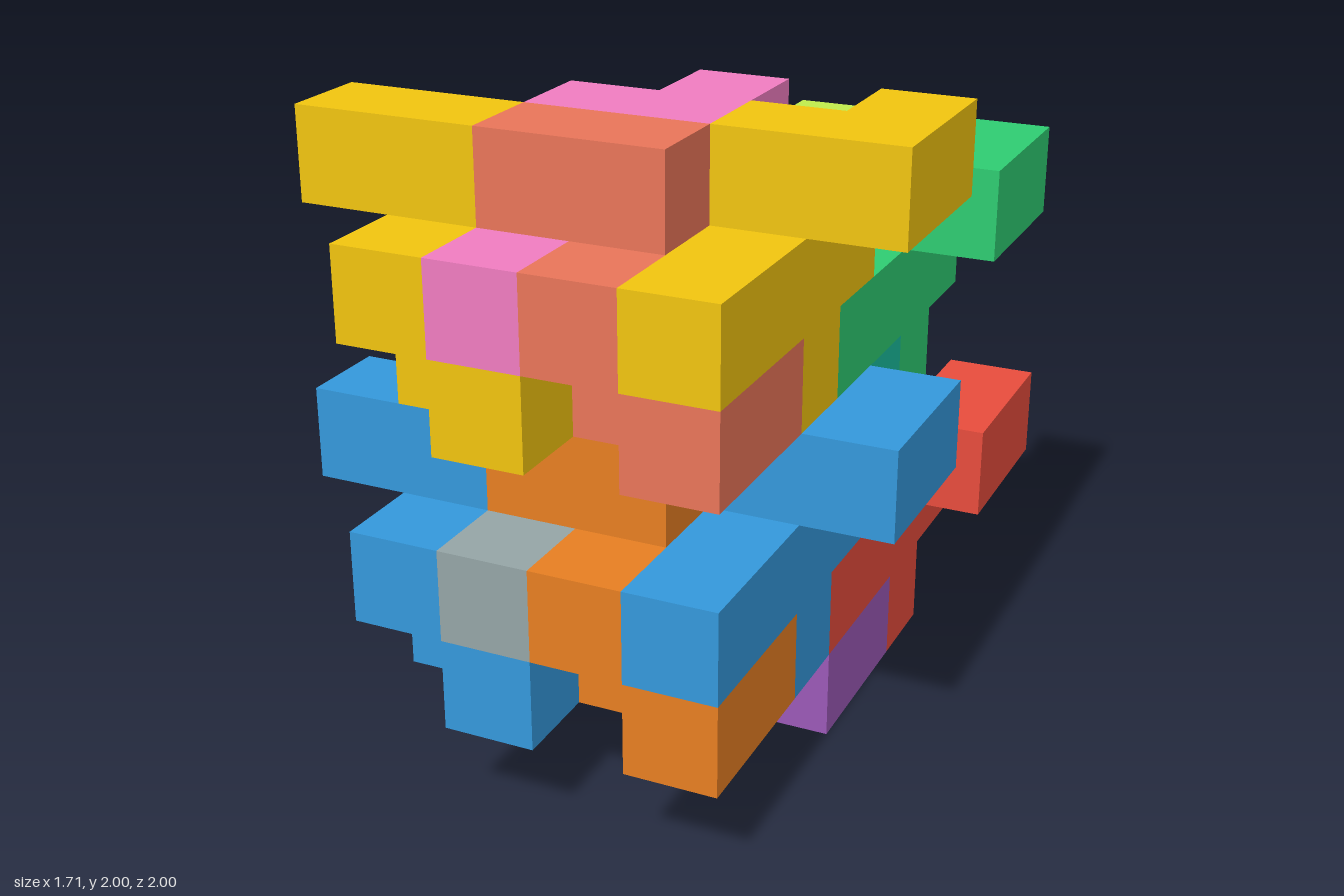
import * as THREE from 'three';
import { mergeGeometries } from 'three/addons/utils/BufferGeometryUtils.js';

const U = 2 / 7; // one grid cell

// Each tile is three layers of cells in three colour zones.
// Blocks are [x0, x1, layer, z0, z1] in cells.
const ZONES = {
  outerZone: [
    [1, 2, 1, 0, 4], [4, 5, 1, 0, 4],                  // side columns of the middle slab
    [0, 2, 2, 2, 3], [4, 6, 2, 1, 2], [5, 6, 2, 0, 1], // overhanging top arms
    [3, 5, 0, 1, 2], [1, 3, 0, 2, 3], [2, 3, 0, 3, 4], // feet
  ],
  frontZone: [
    [3, 4, 1, 0, 4], [2, 4, 2, 2, 3],
    [3, 5, 0, 2, 3], [4, 5, 0, 3, 4],
  ],
  backZone: [
    [2, 3, 1, 0, 4], [2, 4, 2, 1, 2], [3, 4, 2, 0, 1],
    [1, 3, 0, 1, 2],
  ],
};

// Cuboid in cell coordinates, centred on x
function block([x0, x1, layer, z0, z1]) {
  return new THREE.BoxGeometry((x1 - x0) * U, U, (z1 - z0) * U)
    .translate(((x0 + x1) / 2 - 3) * U, (layer + 0.5) * U, ((z0 + z1) / 2) * U);
}

// One interlocking tile, raised and shifted by whole cells
function tile(name, layer, row, colors) {
  const group = new THREE.Group();
  group.name = name;
  group.position.set(0, layer * U, row * U - 1);
  Object.entries(ZONES).forEach(([zone, blocks], i) => {
    const material = new THREE.MeshStandardMaterial({ color: colors[i] });
    const mesh = new THREE.Mesh(mergeGeometries(blocks.map(block)), material);
    mesh.name = zone;
    group.add(mesh);
  });
  return group;
}

export function createModel() {
  const model = new THREE.Group();
  model.name = 'interlockingTiles';
  model.add(
    tile('lowerBackTile', 0, 0, [0xe74c3c, 0x9b59b6, 0x34495e]),
    tile('lowerFrontTile', 1, 3, [0x3498db, 0xe67e22, 0x95a5a6]),
    tile('upperBackTile', 3, 0, [0x2ecc71, 0x1abc9c, 0xc0eb4b]),
    tile('upperFrontTile', 4, 3, [0xf1c40f, 0xe97559, 0xf07cc0]),
  );
  return model;
}
